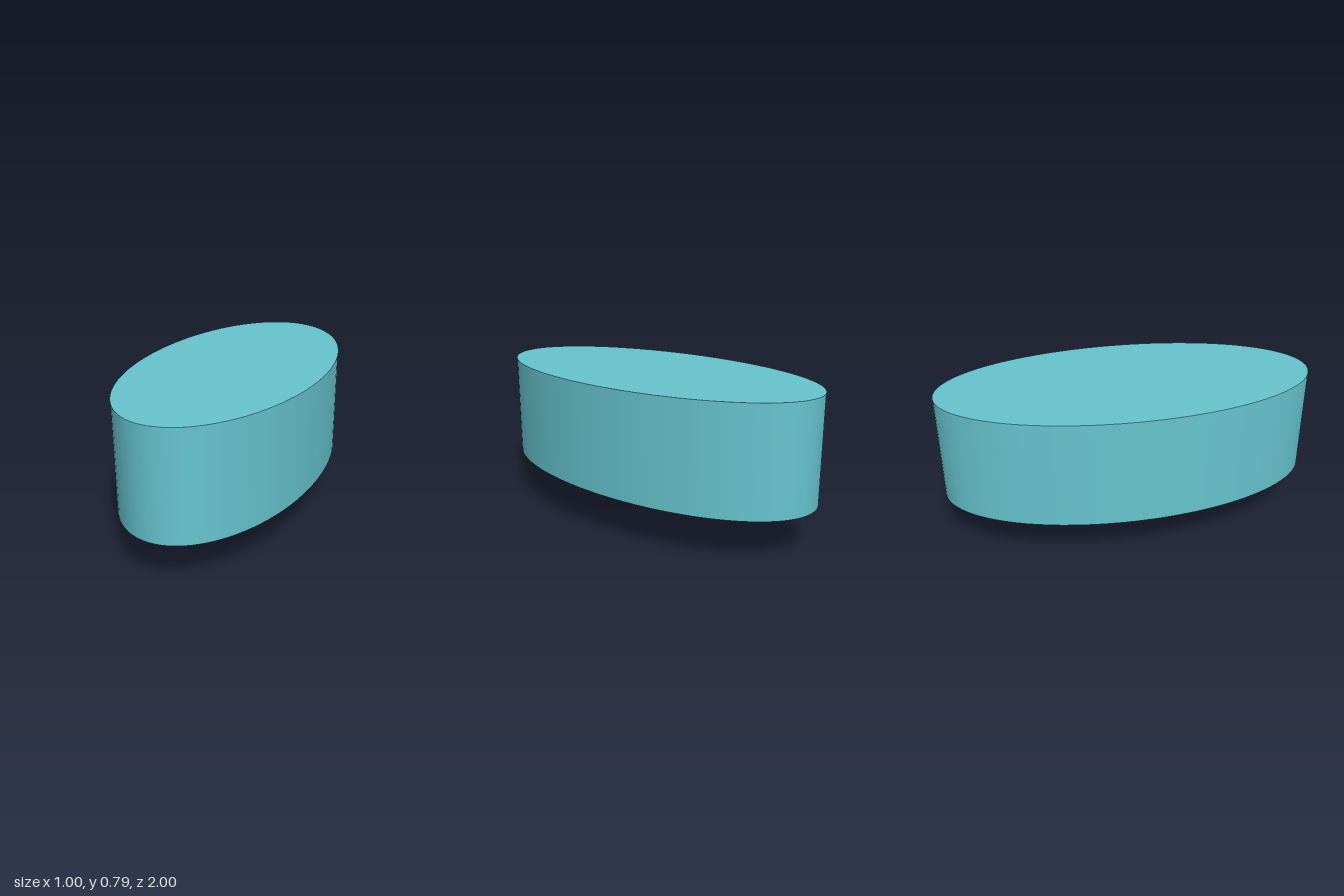
import * as THREE from 'three';

const SEGMENTS = 96;

// Smooth skin through elliptical sections [y, halfWidth, halfDepth], listed bottom to top
function loftEllipses(sections) {
  const positions = [], index = [], row = SEGMENTS + 1;
  sections.forEach(([y, a, b], j) => {
    for (let i = 0; i <= SEGMENTS; i++) {
      const t = (i / SEGMENTS) * Math.PI * 2;
      positions.push(a * Math.sin(t), y, b * Math.cos(t));
      if (j > 0 && i < SEGMENTS) {
        const p = (j - 1) * row + i, q = p + row;
        index.push(p, p + 1, q + 1, p, q + 1, q);
      }
    }
  });
  const geometry = new THREE.BufferGeometry();
  geometry.setAttribute('position', new THREE.Float32BufferAttribute(positions, 3));
  geometry.setIndex(index);
  geometry.computeVertexNormals();
  return geometry;
}

export function createModel() {
  const model = new THREE.Group();
  const teal = new THREE.MeshStandardMaterial({ color: 0x66c4ce });
  const tealSkin = teal.clone();
  tealSkin.side = THREE.DoubleSide;
  const grey = new THREE.MeshStandardMaterial({ color: 0xcccccc });

  const add = (name, geometry, material) => {
    const mesh = new THREE.Mesh(geometry, material);
    mesh.name = name;
    model.add(mesh);
    return mesh;
  };

  // Straight elliptical wall
  const wall = new THREE.CylinderGeometry(1, 1, 0.555, SEGMENTS, 1, true);
  wall.scale(0.5, 1, 1).translate(0, 0.5125, 0);
  add('tankWall', wall, tealSkin);

  // Flat lid
  const lid = new THREE.CircleGeometry(1, SEGMENTS);
  lid.rotateX(-Math.PI / 2).scale(0.5, 1, 1).translate(0, 0.79, 0);
  add('lid', lid, teal);

  // Funnel blending from the ellipse to the round outlet
  add('funnel', loftEllipses([
    [0.012, 0.026, 0.026],
    [0.025, 0.054, 0.056],
    [0.04, 0.088, 0.105],
    [0.06, 0.132, 0.2],
    [0.08, 0.175, 0.335],
    [0.105, 0.23, 0.49],
    [0.15, 0.325, 0.68],
    [0.19, 0.41, 0.83],
    [0.235, 0.5, 1],
  ]), tealSkin);

  // Small outlet at the lowest point
  const outlet = new THREE.CylinderGeometry(0.028, 0.028, 0.013, 32);
  outlet.translate(0, 0.0065, 0);
  add('outlet', outlet, grey);

  return model;
}
